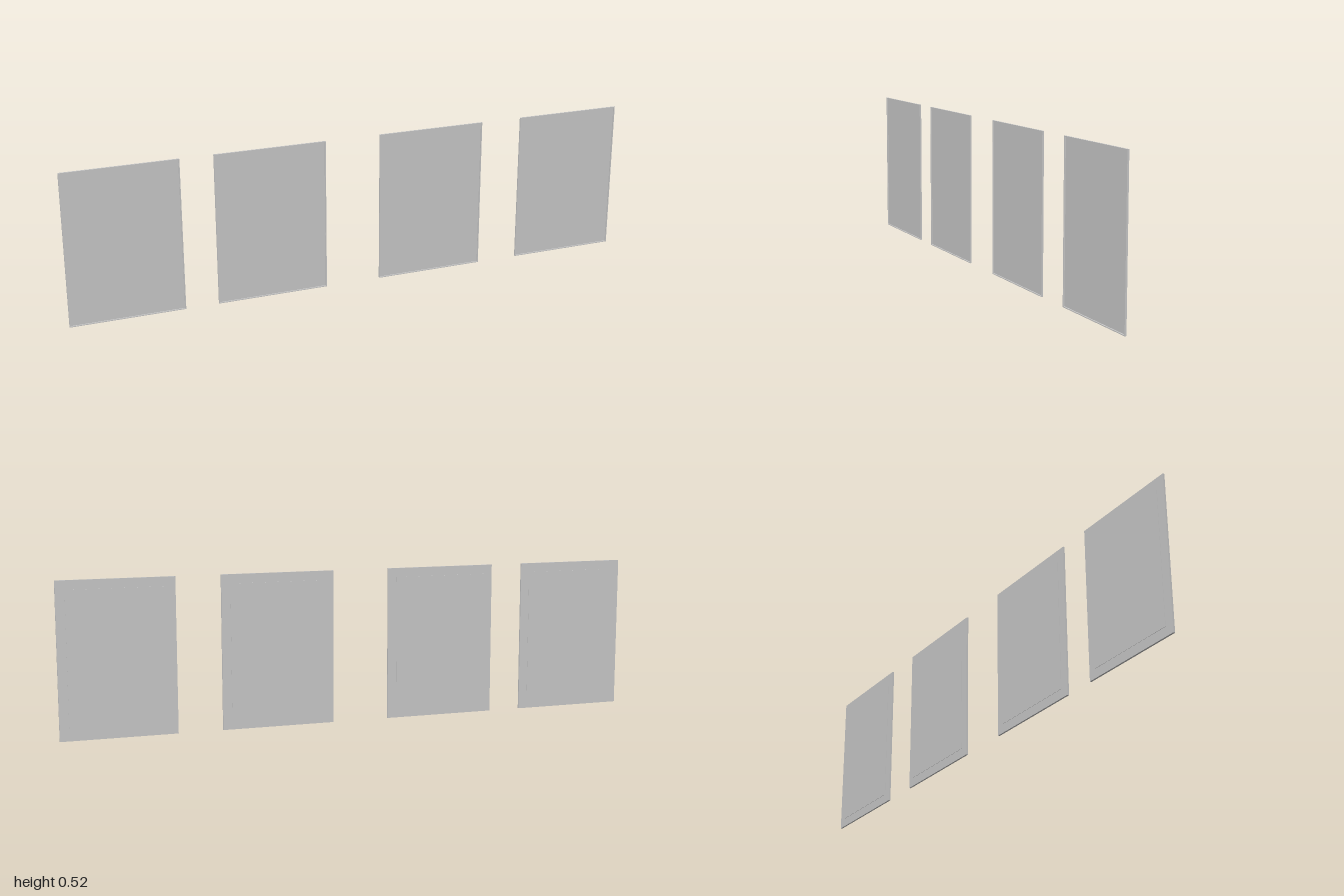
import * as THREE from 'three';

const W = 0.385, H = 0.52;      // panel size
const RIM = 0.003;              // width of the raised front edge
const INSET = 0.031;            // margin of the raised field on the back

const grey = new THREE.MeshStandardMaterial({ color: 0xcccccc, flatShading: true });

// Rectangle outline centred on the origin
function rect(PathType, w, h) {
  const p = new PathType();
  p.moveTo(-w / 2, -h / 2);
  p.lineTo(w / 2, -h / 2);
  p.lineTo(w / 2, h / 2);
  p.lineTo(-w / 2, h / 2);
  p.closePath();
  return p;
}

function addPart(parent, name, geometry, z) {
  const mesh = new THREE.Mesh(geometry, grey);
  mesh.name = name;
  mesh.position.z = z;
  parent.add(mesh);
}

// Thin box between two depths, or a frame when it has a hole
function slab(w, h, depth, hole) {
  const shape = rect(THREE.Shape, w, h);
  if (hole) shape.holes.push(hole);
  return new THREE.ExtrudeGeometry(shape, { depth, bevelEnabled: false });
}

// Shallow tray: backing sheet, front rim, slightly raised field behind
function createPanel(x) {
  const panel = new THREE.Group();
  panel.name = 'panel';
  panel.position.set(x, H / 2, 0);
  const opening = rect(THREE.Path, W - 2 * RIM, H - 2 * RIM);
  addPart(panel, 'backingSheet', slab(W, H, 0.0015), -0.0025);
  addPart(panel, 'frontRim', slab(W, H, 0.0045, opening), -0.001);
  addPart(panel, 'raisedBackField', slab(W - 2 * INSET, H - 2 * INSET, 0.001), -0.0035);
  return panel;
}

export function createModel() {
  const model = new THREE.Group();
  model.name = 'panelRow';
  for (const x of [-0.8075, -0.309, 0.272, 0.8075]) model.add(createPanel(x));
  return model;
}
